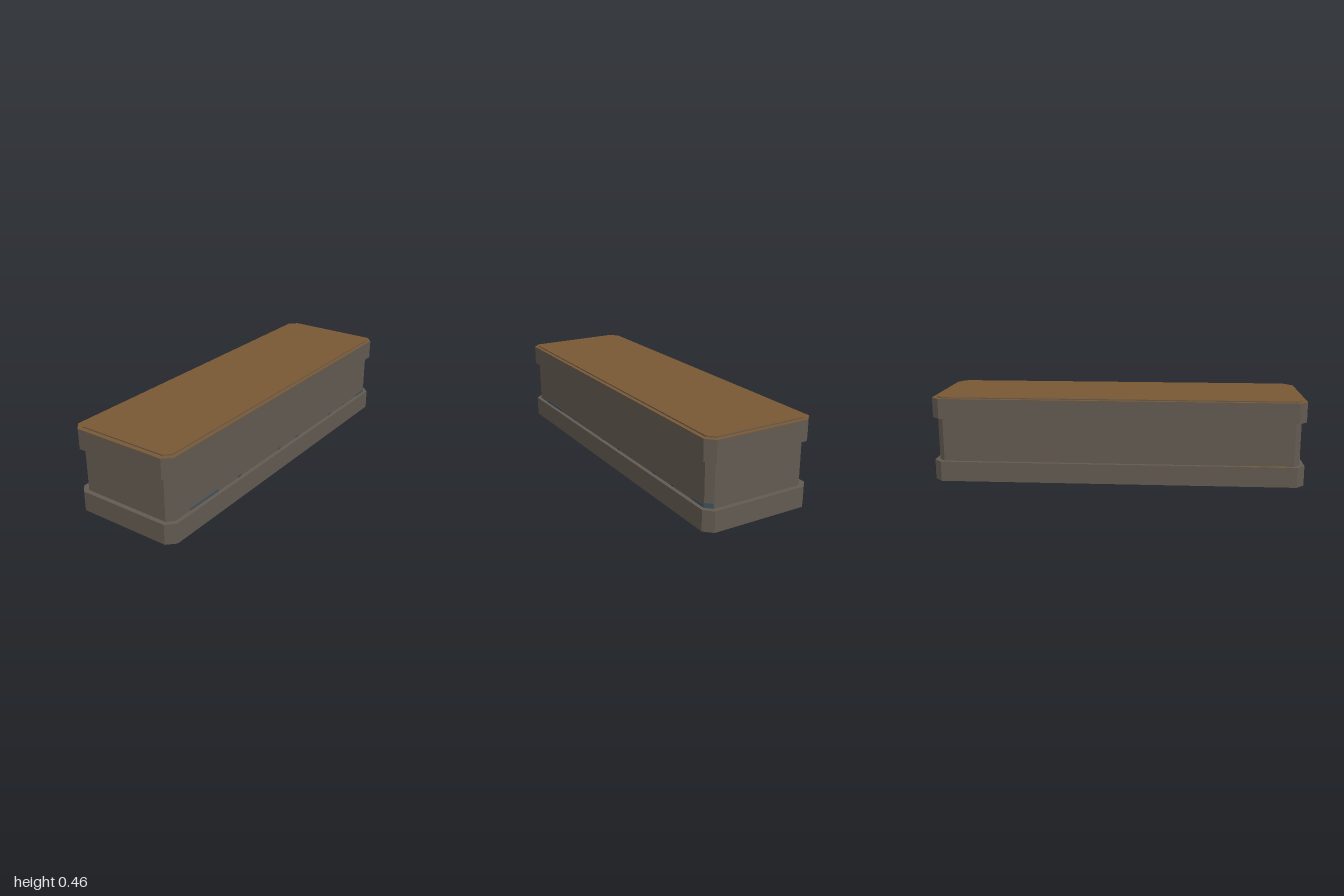
import * as THREE from 'three';

const stone = new THREE.MeshStandardMaterial({ color: 0x625a51 });
stone.name = 'stone';
const wood = new THREE.MeshStandardMaterial({ color: 0x785835 });
wood.name = 'brown top';
const slate = new THREE.MeshStandardMaterial({ color: 0x42525c });
slate.name = 'blue slate';

// Rectangle with cut corners, extruded upward from y0 to y1
function slab(name, hx, hz, cx, cz, y0, y1, material) {
  const shape = new THREE.Shape([
    [hx - cx, -hz], [hx, -hz + cz], [hx, hz - cz], [hx - cx, hz],
    [-hx + cx, hz], [-hx, hz - cz], [-hx, -hz + cz], [-hx + cx, -hz],
  ].map(([x, z]) => new THREE.Vector2(x, z)));
  const geometry = new THREE.ExtrudeGeometry(shape, { depth: y1 - y0, bevelEnabled: false });
  geometry.rotateX(-Math.PI / 2);
  geometry.translate(0, y0, 0);
  const mesh = new THREE.Mesh(geometry, material);
  mesh.name = name;
  return mesh;
}

function plate(name, w, h, d, x, y, z, material) {
  const mesh = new THREE.Mesh(new THREE.BoxGeometry(w, h, d), material);
  mesh.name = name;
  mesh.position.set(x, y, z);
  return mesh;
}

export function createModel() {
  const model = new THREE.Group();
  model.name = 'stoneBlock';

  // Base band, recessed body and upper band
  model.add(
    slab('baseBand', 1, 0.304, 0.043, 0.043, 0.001, 0.11, stone),
    slab('body', 0.975, 0.283, 0.033, 0.033, 0.11, 0.347, stone),
    slab('upperBand', 1, 0.304, 0.043, 0.043, 0.347, 0.455, stone),
    slab('upperLedge', 1, 0.304, 0.043, 0.043, 0.455, 0.456, wood),
    slab('topStep', 0.975, 0.283, 0.033, 0.033, 0.456, 0.461, stone),
    slab('topSurface', 0.975, 0.283, 0.033, 0.033, 0.461, 0.462, wood),
  );

  // Slate patches on the underside, each an outline in x and z
  const patches = [
    [[0.97, 0.24], [0.95, -0.24], [0.82, -0.27], [0.84, 0.28], [0.93, 0.29]],
    [[0.72, 0.29], [0.68, 0.02], [0.70, -0.14], [0.62, -0.21], [0.50, -0.17], [0.46, -0.04], [0.53, 0.08], [0.56, 0.29]],
    [[0.16, 0.29], [0.18, -0.02], [0.14, -0.27], [-0.10, -0.27], [-0.08, 0.0], [-0.13, 0.29]],
    [[-0.36, 0.29], [-0.39, 0.0], [-0.34, -0.2], [-0.58, -0.23], [-0.84, -0.24], [-0.78, -0.05], [-0.85, 0.15], [-0.84, 0.29]],
  ];
  for (const points of patches) {
    const shape = new THREE.Shape(points.map(([x, z]) => new THREE.Vector2(x, z)));
    const geometry = new THREE.ShapeGeometry(shape);
    geometry.rotateX(Math.PI / 2);
    const patch = new THREE.Mesh(geometry, slate);
    patch.name = 'undersidePatch';
    model.add(patch);
  }

  // Small slate flecks along the foot of the front wall
  for (const [x, w] of [[-0.72, 0.22], [-0.43, 0.03], [-0.06, 0.03], [0.13, 0.03], [0.5, 0.03], [0.67, 0.02], [0.89, 0.1]]) {
    model.add(plate('frontFleck', w, 0.014, 0.002, x, 0.117, 0.2835, slate));
  }
  const cornerFleck = plate('cornerFleck', 0.045, 0.025, 0.002, 0.9585, 0.1225, 0.2665, slate);
  cornerFleck.rotation.y = Math.PI / 4;
  model.add(cornerFleck);

  // Brown streak on the back ledge
  model.add(plate('ledgeStreak', 0.28, 0.001, 0.016, -0.78, 0.1105, -0.293, wood));
  return model;
}
